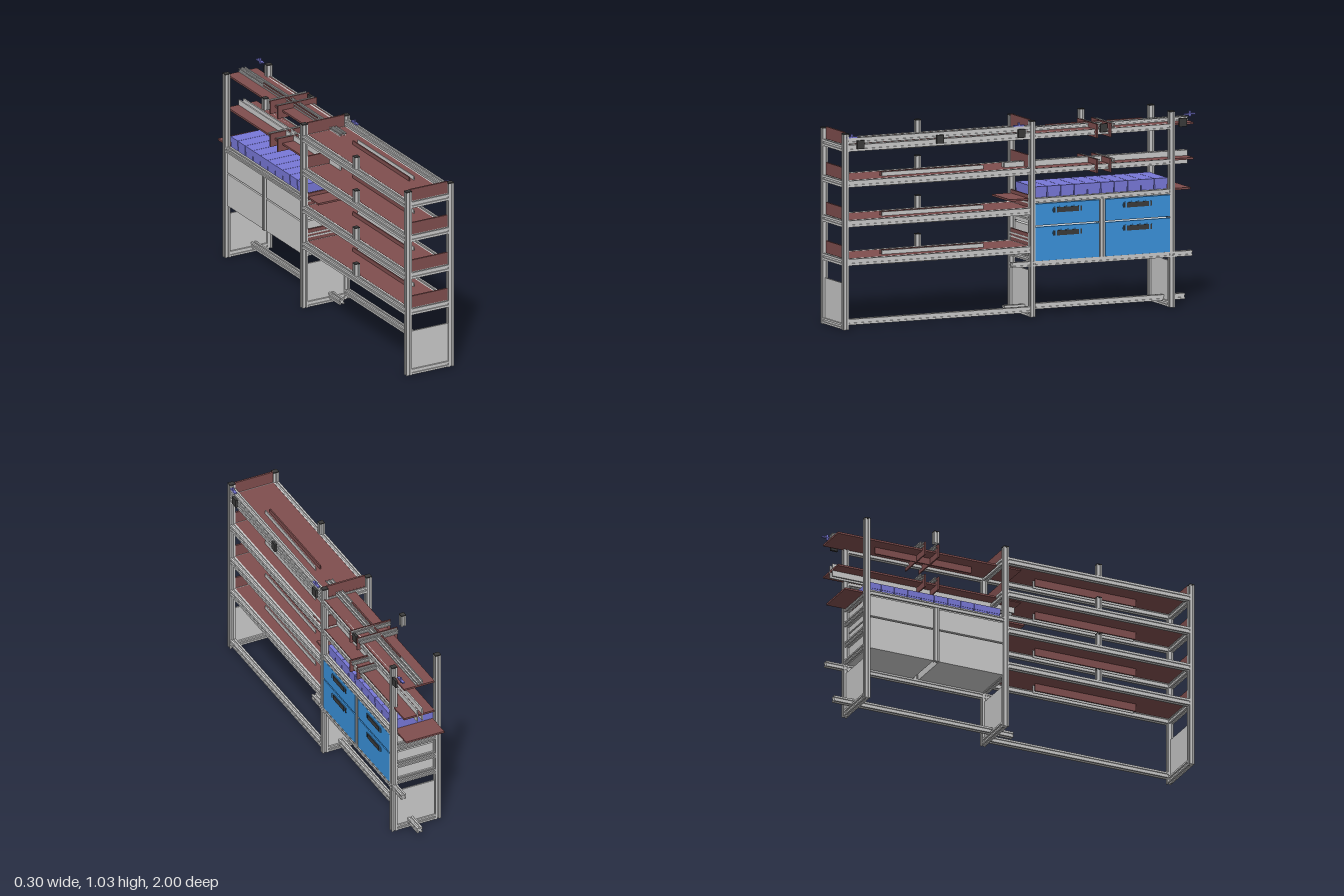
import * as THREE from 'three';

const mat = (color) => new THREE.MeshStandardMaterial({ color });
const grey = mat(0xcccccc), brown = mat(0x804e4e), blue = mat(0x3a92dc);
const purple = mat(0x7878d8), dark = mat(0x3a3a3a);

// Slotted square profile, one groove on each side
function profileShape(w, h) {
  const a = w / 2, b = h / 2, s = 0.005, d = 0.006;
  const p = [
    [-a, -b], [-s, -b], [-s, -b + d], [s, -b + d], [s, -b],
    [a, -b], [a, -s], [a - d, -s], [a - d, s], [a, s],
    [a, b], [s, b], [s, b - d], [-s, b - d], [-s, b],
    [-a, b], [-a, s], [-a + d, s], [-a + d, -s], [-a, -s],
  ];
  return new THREE.Shape(p.map(([x, y]) => new THREE.Vector2(x, y)));
}

export function createModel() {
  const model = new THREE.Group();
  model.name = 'shelvingRack';

  // Box given by its limits on each axis
  const box = (name, m, x0, x1, y0, y1, z0, z1) => {
    const mesh = new THREE.Mesh(new THREE.BoxGeometry(x1 - x0, y1 - y0, z1 - z0), m);
    mesh.position.set((x0 + x1) / 2, (y0 + y1) / 2, (z0 + z1) / 2);
    mesh.name = name;
    model.add(mesh);
    return mesh;
  };

  // Slotted beam along an axis, centred on the given point
  const beam = (name, axis, from, to, x, y, z, w = 0.03, h = 0.03) => {
    const len = to - from;
    const g = new THREE.ExtrudeGeometry(profileShape(w, h), { depth: len, bevelEnabled: false });
    g.translate(0, 0, -len / 2);
    if (axis === 'x') g.rotateY(Math.PI / 2);
    if (axis === 'y') g.rotateX(-Math.PI / 2);
    const mesh = new THREE.Mesh(g, grey);
    mesh.position.set(x, y, z);
    mesh.position[axis] = (from + to) / 2;
    mesh.name = name;
    model.add(mesh);
  };

  const xL = -0.132, xR = 0.118, zPosts = [0.984, -0.078, -0.87];
  const inL = -0.116, inR = 0.103;

  // Uprights with caps, lower end panels and their frames
  for (const z of zPosts) {
    for (const x of [xL, xR]) {
      beam('upright', 'y', 0, 1.015, x, 0, z, 0.031, 0.028);
      box('uprightCap', dark, x - 0.0155, x + 0.0155, 1.015, 1.021, z - 0.014, z + 0.014);
    }
    box('endPanel', grey, inL, inR, 0.03, 0.24, z - 0.004, z + 0.004);
    beam('footCrossbar', 'x', inL, inR, 0, 0.017, z, 0.028, 0.03);
  }

  // Front bay: four shelves with rails, end boards, divider and short stub
  for (const y of [0.35, 0.55, 0.757, 0.943]) {
    for (const x of [xL, xR]) beam('shelfRail', 'z', -0.064, 0.97, x, y, 0, 0.03, 0.034);
    for (const z of [0.984, -0.078]) beam('shelfCrossbar', 'x', inL, inR, 0, y, z, 0.028, 0.034);
    box('shelf', brown, inL, inR, y + 0.008, y + 0.017, -0.075, 0.97);
    for (const z of [0.978, -0.071])
      box('endBoard', brown, inL, inR, y + 0.018, y + 0.082, z - 0.005, z + 0.005);
    box('shelfDivider', brown, 0.015, 0.022, y - 0.033, y + 0.038, 0.165, 0.74);
    box('dividerBacking', grey, 0.043, 0.048, y - 0.033, y + 0.038, 0.165, 0.74);
    beam('stub', 'y', y + 0.012, y + 0.08, xL, 0, 0.455, 0.028, 0.028);
    box('stubCap', dark, xL - 0.014, xL + 0.014, y + 0.08, y + 0.085, 0.441, 0.469);
  }
  beam('topRail', 'z', -0.064, 0.97, xR, 0.981, 0, 0.028, 0.03);
  beam('floorRail', 'z', -0.064, 0.97, xR, 0.04, 0, 0.03, 0.03);

  // Rear bay: base beams running past the uprights
  beam('baseBeam', 'z', -0.985, 0.04, 0.025, 0.04, 0);
  beam('drawerBeam', 'z', -0.985, 0.04, xR, 0.276, 0, 0.028, 0.028);
  for (const x of [xL, xR]) {
    beam('binRail', 'z', -0.856, -0.092, x, 0.603, 0, 0.03, 0.025);
    beam('drawerUpright', 'y', 0.29, 0.59, x, 0, -0.473, 0.028, 0.025);
  }
  for (const y of [0.3, 0.4, 0.515, 0.6])
    for (const z of zPosts.slice(1)) beam('bayCrossbar', 'x', inL, inR, 0, y, z, 0.028, 0.026);
  box('binShelf', brown, inL, inR, 0.604, 0.614, -0.985, 0.04);

  // Upper narrow shelves with crosswise and lengthwise dividers
  for (const y of [0.765, 0.948]) {
    box('narrowShelf', brown, -0.055, 0.12, y - 0.004, y + 0.006, -0.995, 0.05);
    beam('narrowShelfRail', 'z', -0.856, -0.092, xR, y - 0.008, 0, 0.028, 0.028);
    box('crossDivider', brown, -0.083, 0.15, y - 0.037, y + 0.035, -0.514, -0.507);
    box('crossDivider', brown, -0.083, 0.15, y - 0.037, y + 0.035, -0.437, -0.430);
    for (const z of [-0.526, -0.442])
      beam('crossBar', 'x', -0.078, 0.145, 0, y + 0.022, z, 0.022, 0.022);
  }
  box('lengthDivider', brown, 0.015, 0.022, 0.908, 0.98, -0.75, -0.2);
  for (const x of [0.015, 0.043])
    box('lengthDivider', grey, x - 0.004, x + 0.004, 0.73, 0.8, -0.995, 0.045);
  for (const x of [0.02, 0.042])
    beam('lengthBar', 'z', -0.995, 0.04, x, 0.965, 0, 0.018, 0.02);
  beam('rearStub', 'y', 0.957, 1.02, xL, 0, -0.475, 0.028, 0.028);
  box('rearStubCap', dark, xL - 0.014, xL + 0.014, 1.02, 1.025, -0.489, -0.461);

  // Row of bins with a raised rim
  const bins = 10, pitch = 0.076;
  for (let i = 0; i < bins; i++) {
    const z = -0.856 + i * pitch;
    box('bin', purple, inL, inR, 0.614, 0.64, z + 0.003, z + pitch - 0.003);
    box('binRim', purple, inL - 0.002, inR + 0.002, 0.64, 0.672, z + 0.001, z + pitch - 0.001);
  }

  // Rounded handle plate with a dark grip
  const slot = new THREE.Shape();
  slot.absarc(0.068, 0, 0.017, -Math.PI / 2, Math.PI / 2);
  slot.absarc(-0.068, 0, 0.017, Math.PI / 2, Math.PI * 1.5);
  const handleGeo = new THREE.ExtrudeGeometry(slot, { depth: 0.003, bevelEnabled: false, curveSegments: 8 });
  handleGeo.rotateY(Math.PI / 2);

  // Drawers: grey bodies, blue fronts
  for (const [z0, z1] of [[-0.456, -0.093], [-0.855, -0.49]]) {
    for (const [y0, y1, hy] of [[0.29, 0.466, 0.43], [0.474, 0.586, 0.55]]) {
      const zc = (z0 + z1) / 2;
      box('drawerBody', grey, -0.136, 0.115, y0, y1, z0, z1);
      box('drawerFront', blue, 0.115, 0.131, y0, y1, z0, z1);
      const plate = new THREE.Mesh(handleGeo, blue);
      plate.position.set(0.13, hy, zc);
      plate.name = 'handlePlate';
      model.add(plate);
      box('handleGrip', dark, 0.131, 0.137, hy - 0.013, hy + 0.013, zc - 0.062, zc + 0.062);
      for (const s of [-1, 1])
        box('handleEnd', dark, 0.131, 0.135, hy - 0.013, hy + 0.013, zc + s * 0.076 - 0.004, zc + s * 0.076 + 0.004);
    }
  }

  // Dark mounting blocks along the top, with small clips
  for (const z of [0.905, 0.455, -0.01, -0.475, -0.925])
    box('mountingBlock', dark, 0.132, 0.145, 0.938, 0.982, z - 0.02, z + 0.02);
  for (const z of [0.95, 0, -0.97]) {
    box('clip', purple, 0.119, 0.133, 0.996, 1.003, z - 0.03, z + 0.03);
    box('clipPin', purple, 0.122, 0.13, 0.985, 1.015, z - 0.005, z + 0.005);
  }

  return model;
}
